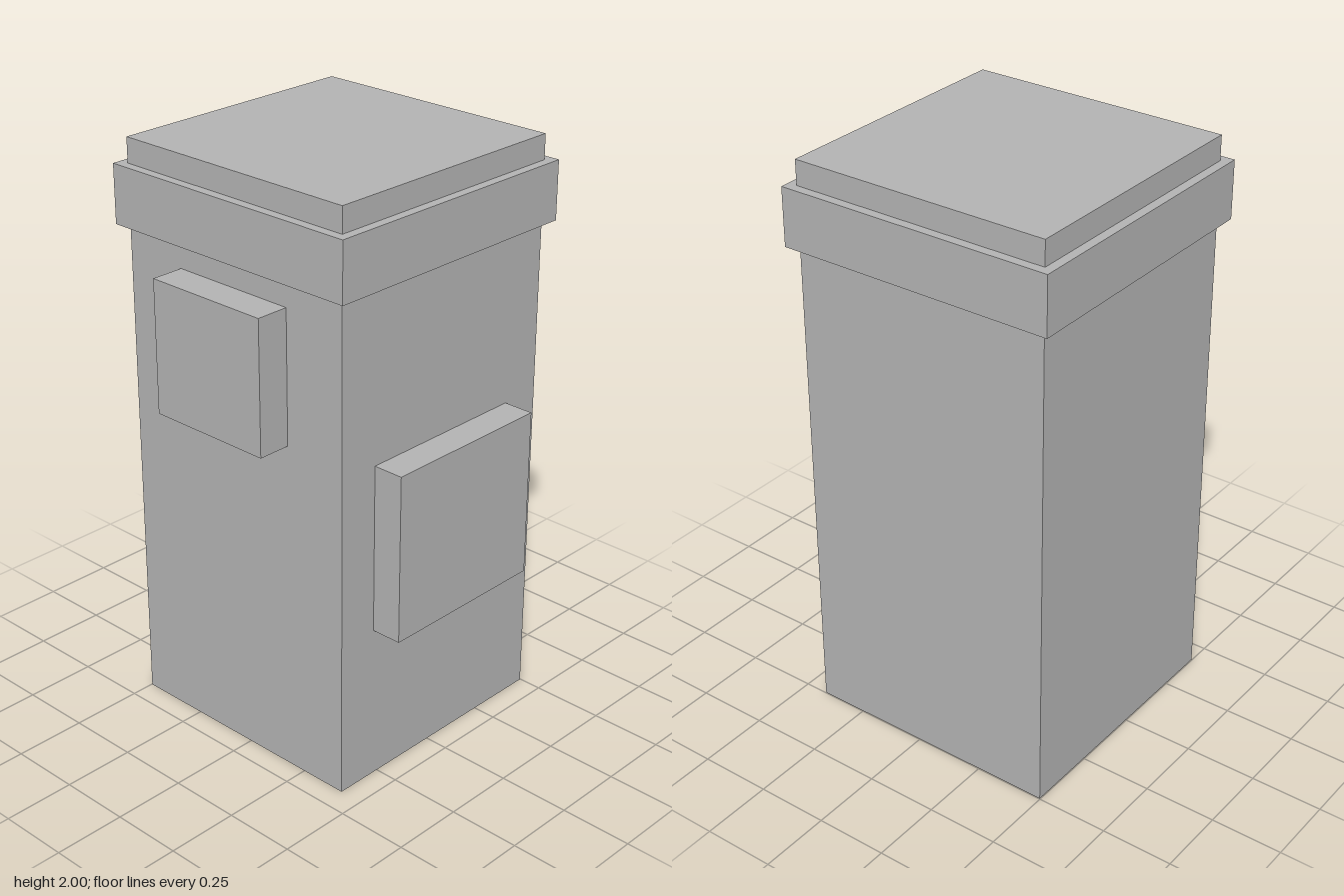
import * as THREE from 'three';

export function createModel() {
  const model = new THREE.Group();
  model.name = 'boxyPillar';
  const grey = new THREE.MeshStandardMaterial({ color: 0xb2b2b2 });
  grey.name = 'plain grey';

  // Adds a box spanning two opposite corners
  function addBox(name, [x0, y0, z0], [x1, y1, z1]) {
    const mesh = new THREE.Mesh(new THREE.BoxGeometry(x1 - x0, y1 - y0, z1 - z0), grey);
    mesh.name = name;
    mesh.position.set((x0 + x1) / 2, (y0 + y1) / 2, (z0 + z1) / 2);
    model.add(mesh);
  }

  // Square column, its top rising through the collar
  addBox('column', [-0.418, 0, -0.498], [0.498, 2, 0.418]);
  // Wider band near the top
  addBox('collar', [-0.45, 1.715, -0.53], [0.53, 1.915, 0.45]);
  // Raised panel on the front
  addBox('frontPanel', [-0.272, 0.545, 0.418], [0.352, 1.128, 0.525]);
  // Raised panel on the right side
  addBox('sidePanel', [-0.533, 1.17, -0.268], [-0.418, 1.627, 0.19]);

  return model;
}
